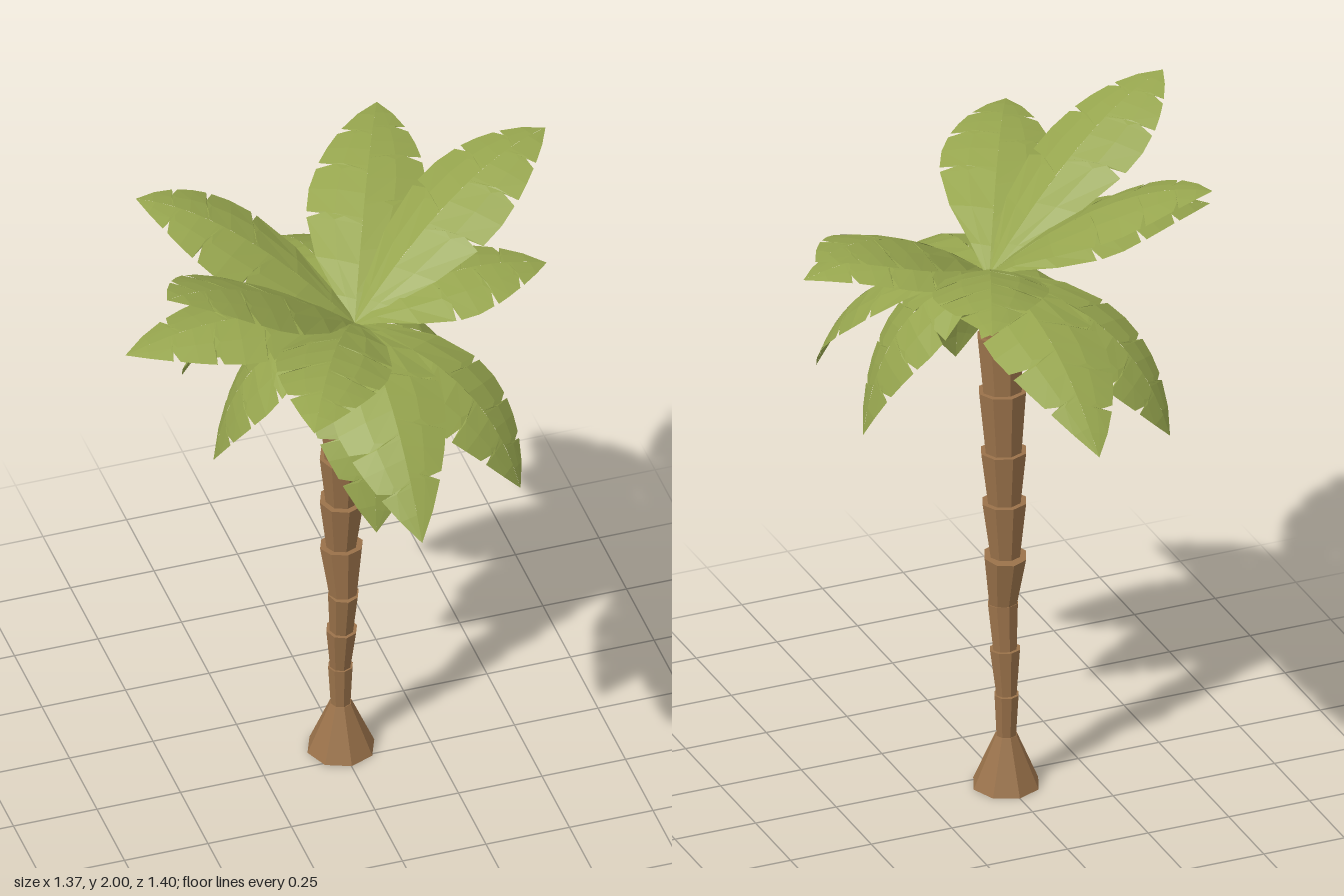
import * as THREE from 'three';

const bark = new THREE.MeshStandardMaterial({ color: 0x9a724a, flatShading: true });
const leaf = new THREE.MeshStandardMaterial({ color: 0x96a54e, flatShading: true, side: THREE.DoubleSide });

// Trunk rings: height, z of the centre, radius below the ring, radius above it
const RINGS = [
  [0, -0.06, 0.1, 0.1], [0.16, -0.062, 0.032, 0.03], [0.29, -0.064, 0.037, 0.031],
  [0.43, -0.053, 0.046, 0.036], [0.57, -0.038, 0.046, 0.042], [0.73, -0.055, 0.064, 0.045],
  [0.9, -0.048, 0.067, 0.05], [1.06, -0.043, 0.069, 0.055], [1.25, -0.035, 0.072, 0.059],
  [1.42, -0.02, 0.07, 0.056], [1.58, 0.01, 0.06, 0.06],
];

// Frond tips (x, y, z), height of the arch control point and its reach along the frond
const FRONDS = [
  ['raisedFrond', -0.63, 2.0, 0.27, 1.97, 0.58],
  ['raisedFrond', 0.68, 1.91, -0.265, 1.95, 0.56],
  ['raisedFrond', -0.53, 1.91, -0.315, 1.93, 0.56],
  ['spreadingFrond', -0.33, 1.765, 0.7, 1.87, 0.52],
  ['spreadingFrond', 0.31, 1.79, -0.675, 1.87, 0.52],
  ['levelFrond', -0.685, 1.66, 0.06, 1.78, 0.45],
  ['levelFrond', 0.58, 1.68, 0.05, 1.78, 0.45],
  ['archedFrond', -0.01, 1.35, -0.705, 1.68, 0.55],
  ['archedFrond', 0, 1.275, 0.68, 1.68, 0.55],
  ['droopingFrond', 0.38, 1.19, 0.42, 1.58, 0.8],
  ['droopingFrond', -0.37, 1.19, -0.38, 1.58, 0.8],
  ['droopingFrond', -0.385, 1.13, -0.05, 1.58, 0.85],
  ['droopingFrond', 0.385, 1.13, 0.075, 1.58, 0.85],
  ['droopingFrond', -0.05, 1.13, 0.415, 1.58, 0.85],
];

// Half outline of a frond: position along it and half width, with three torn slits
const OUTLINE = [
  [0, 0.012], [0.1, 0.06], [0.25, 0.128], [0.42, 0.164], [0.432, 0.11], [0.447, 0.166],
  [0.55, 0.165], [0.64, 0.15], [0.65, 0.095], [0.668, 0.145], [0.74, 0.125],
  [0.81, 0.1], [0.82, 0.06], [0.836, 0.09], [0.92, 0.05], [1, 0],
];

function frondGeometry(tip, archY, reach, slitShift) {
  const root = new THREE.Vector3(0.01, 1.59, 0.035);
  const control = root.clone().lerp(tip, reach).setY(archY);
  const curve = new THREE.QuadraticBezierCurve3(root, control, tip);
  const side = new THREE.Vector3(tip.z - root.z, 0, root.x - tip.x).normalize();

  // Point at t along the midrib, w out to the side, sagging towards the edge
  const point = (t, w) => {
    const normal = curve.getTangent(t).cross(side).normalize();
    const sag = 0.08 * Math.abs(w) + 1.05 * w * w;
    return curve.getPoint(t).addScaledVector(side, w).addScaledVector(normal, -sag);
  };

  const positions = [];
  const tri = (a, b, c, flip) => {
    for (const p of flip ? [a, c, b] : [a, b, c]) positions.push(p.x, p.y, p.z);
  };
  for (const s of [1, -1]) {
    const rows = OUTLINE.map(([t, w]) => {
      const swell = Math.sin(Math.PI * t);
      const edgeT = t + s * slitShift * swell;
      const sweep = 0.05 * swell;
      return [0, 0.5, 1].map((f) => point(edgeT - sweep * (1 - f), s * w * f));
    });
    for (let i = 0; i < rows.length - 1; i++) {
      for (let j = 0; j < 2; j++) {
        const a = rows[i][j], b = rows[i + 1][j], c = rows[i + 1][j + 1], d = rows[i][j + 1];
        tri(a, b, c, s < 0);
        tri(a, c, d, s < 0);
      }
    }
  }
  const geometry = new THREE.BufferGeometry();
  geometry.setAttribute('position', new THREE.Float32BufferAttribute(positions, 3));
  geometry.computeVertexNormals();
  return geometry;
}

export function createModel() {
  const model = new THREE.Group();
  model.name = 'palmTree';

  // Trunk of stacked, upward-flaring segments on a wide foot
  const trunk = new THREE.Group();
  trunk.name = 'trunk';
  const up = new THREE.Vector3(0, 1, 0);
  for (let i = 0; i < RINGS.length - 1; i++) {
    const [y0, z0, , r0] = RINGS[i];
    const [y1, z1, r1] = RINGS[i + 1];
    const axis = new THREE.Vector3(0, y1 - y0, z1 - z0);
    const segment = new THREE.Mesh(new THREE.CylinderGeometry(r1, r0, axis.length(), 8), bark);
    segment.name = i === 0 ? 'trunkFoot' : 'trunkSegment';
    segment.position.set(0, (y0 + y1) / 2, (z0 + z1) / 2);
    segment.quaternion.setFromUnitVectors(up, axis.normalize());
    trunk.add(segment);
  }
  model.add(trunk);

  // Crown of torn fronds
  const crown = new THREE.Group();
  crown.name = 'crown';
  FRONDS.forEach(([name, x, y, z, archY, reach], i) => {
    const shift = i % 2 ? 0.035 : -0.035;
    const frond = new THREE.Mesh(frondGeometry(new THREE.Vector3(x, y, z), archY, reach, shift), leaf);
    frond.name = name;
    crown.add(frond);
  });
  model.add(crown);
  return model;
}
